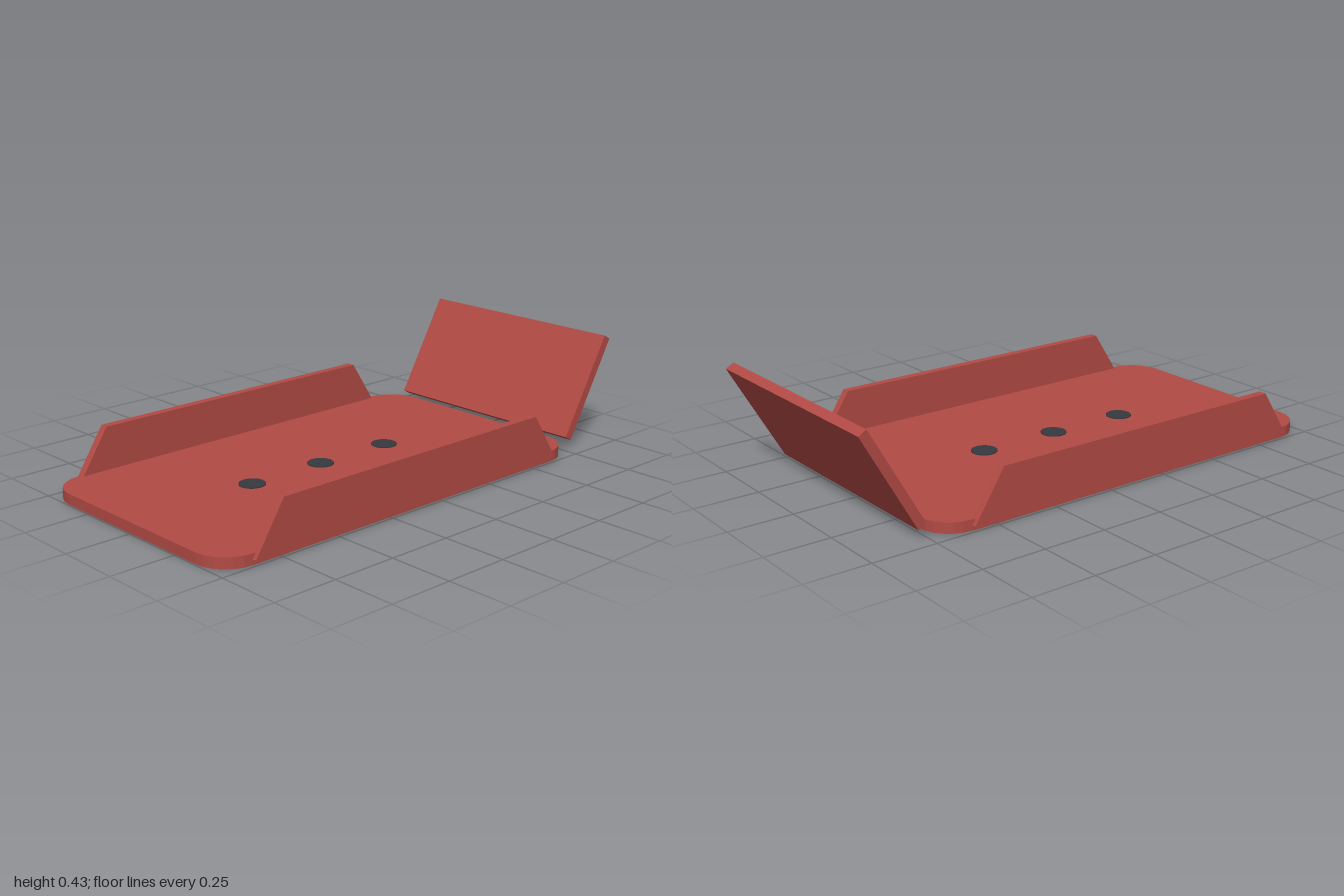
import * as THREE from 'three';

const red = new THREE.MeshStandardMaterial({ name: 'red', color: 0xb24a44 });
const charcoal = new THREE.MeshStandardMaterial({ name: 'charcoal', color: 0x36393e });

function add(parent, name, geometry, material, x = 0, y = 0, z = 0) {
  const mesh = new THREE.Mesh(geometry, material);
  mesh.name = name;
  mesh.position.set(x, y, z);
  parent.add(mesh);
  return mesh;
}

function roundedRect(x0, x1, y0, y1, r) {
  const s = new THREE.Shape();
  s.absarc(x1 - r, y1 - r, r, 0, Math.PI / 2);
  s.absarc(x0 + r, y1 - r, r, Math.PI / 2, Math.PI);
  s.absarc(x0 + r, y0 + r, r, Math.PI, Math.PI * 1.5);
  s.absarc(x1 - r, y0 + r, r, Math.PI * 1.5, Math.PI * 2);
  return s;
}

export function createModel() {
  const model = new THREE.Group();
  model.name = 'tray';

  // Flat base with rounded corners
  const base = new THREE.ExtrudeGeometry(roundedRect(-1, 0.733, -0.495, 0.495, 0.13), {
    depth: 0.041, bevelEnabled: false, curveSegments: 3,
  });
  base.rotateX(-Math.PI / 2);
  add(model, 'basePlate', base, red, 0, 0.004, 0);

  // Trapezoid walls along both long edges
  const wallShape = new THREE.Shape([
    [-0.873, 0.025], [0.605, 0.025], [0.485, 0.211], [-0.753, 0.211],
  ].map(([x, y]) => new THREE.Vector2(x, y)));
  const wall = new THREE.ExtrudeGeometry(wallShape, { depth: 0.032, bevelEnabled: false });
  wall.translate(0, 0, -0.016);
  add(model, 'frontWall', wall, red, 0, 0, 0.496);
  add(model, 'backWall', wall, red, 0, 0, -0.496);

  // Tilted flap beyond the end of the base
  const flap = add(model, 'endFlap', new THREE.BoxGeometry(0.43, 0.036, 0.89), red, 0.877, 0.231, 0);
  flap.rotation.z = Math.PI / 3;

  // Round studs through the base
  const stud = new THREE.CylinderGeometry(0.05, 0.05, 0.049, 16);
  [-0.465, -0.135, 0.195].forEach((x, i) => add(model, `stud${i + 1}`, stud, charcoal, x, 0.0245, 0));

  return model;
}
